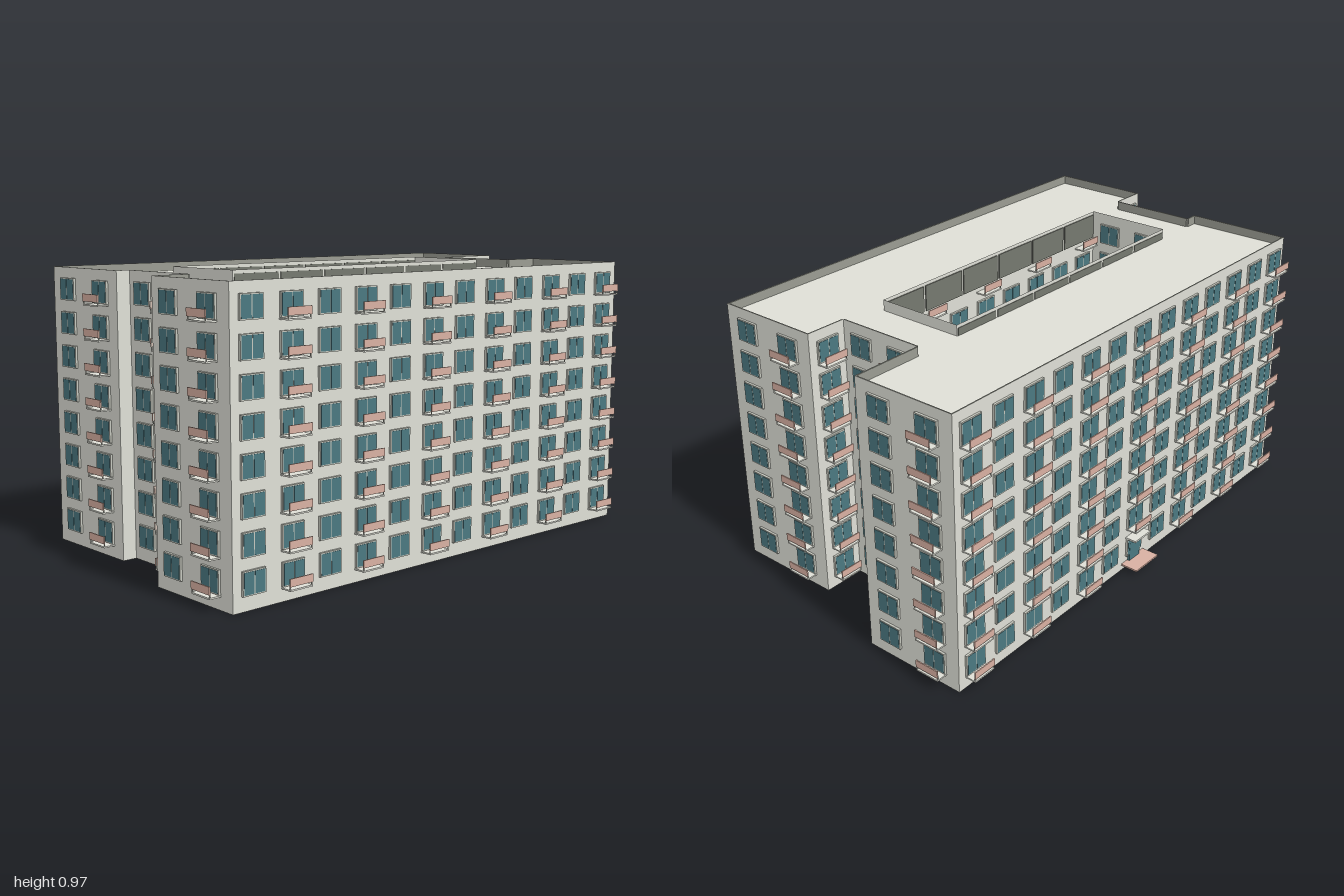
import * as THREE from 'three';
import { mergeGeometries } from 'three/addons/utils/BufferGeometryUtils.js';

const mat = (name, color, side = THREE.FrontSide) => {
  const m = new THREE.MeshStandardMaterial({ color, side });
  m.name = name;
  return m;
};
const M = {
  wall: mat('pale concrete', 0xdedfd6, THREE.DoubleSide),
  frame: mat('window frame', 0xc6c8be),
  lining: mat('parapet lining', 0x9a9c92),
  glass: mat('teal glass', 0x4b7881),
  rail: mat('pink balcony panel', 0xd8b0a2),
  dark: mat('dark trim', 0x75786f),
};

const FLOORS = 8, FLOOR_H = 0.1145, FIRST = 0.085;
const ROOF = 0.928, TOP = 0.96, COURT_TOP = 0.966;

// Footprint corners as [x, z]; the building always lies to the left of each edge
const OUTER = [
  [-0.955, 0.555], [0.84, 0.555], [0.84, 0.167], [0.69, 0.167], [0.69, -0.155], [0.952, -0.155],
  [0.952, -0.535], [-0.87, -0.535], [-0.87, -0.145], [-0.82, -0.145], [-0.82, 0.178], [-0.955, 0.178],
];
const COURT = [[-0.645, -0.15], [0.505, -0.15], [0.505, 0.172], [-0.645, 0.172]];

// Collects geometry under a part name so each part becomes one mesh
class Parts {
  constructor() { this.lists = {}; }
  add(part, material, geo) {
    (this.lists[part] ??= { material, geos: [] }).geos.push(geo);
  }
  box(part, material, w, h, d, x, y, z, matrix) {
    this.add(part, material, new THREE.BoxGeometry(w, h, d).translate(x, y, z).applyMatrix4(matrix));
  }
  addTo(group) {
    for (const [name, { material, geos }] of Object.entries(this.lists)) {
      const mesh = new THREE.Mesh(mergeGeometries(geos), material);
      mesh.name = name;
      group.add(mesh);
    }
  }
}

// Local frame on a facade: +z points away from the wall
const place = (x, y, z, turn) => new THREE.Matrix4().makeRotationY(turn).setPosition(x, y, z);

function addWindow(p, m) {
  p.box('windowFrames', M.frame, 0.086, 0.076, 0.008, 0, 0, 0.004, m);
  for (const s of [-1, 1]) p.box('windowPanes', M.glass, 0.0375, 0.068, 0.006, s * 0.0205, 0, 0.006, m);
}

function addBalcony(p, m) {
  p.box('balconyFloors', M.wall, 0.088, 0.005, 0.042, 0, -0.042, 0.021, m);
  p.box('balconyPanels', M.rail, 0.09, 0.025, 0.004, 0, -0.018, 0.041, m);
  for (const s of [-1, 1]) {
    p.box('balconyPosts', M.frame, 0.003, 0.036, 0.003, s * 0.0425, -0.024, 0.039, m);
  }
}

// Facades: fixed coordinate, turn, and column centres along the wall (plain / with balcony)
const FRONT = 0, LEFT = Math.PI / 2, BACK = Math.PI, RIGHT = -Math.PI / 2;
const series = (start, step, n) => Array.from({ length: n }, (_, i) => start + step * i);
const FACADES = [
  { z: 0.555, turn: FRONT, plain: series(-0.88, 0.298, 6), balcony: series(-0.73, 0.298, 6) },
  { z: -0.535, turn: BACK, plain: series(-0.66, 0.28, 6), balcony: series(-0.8, 0.28, 7), entrance: 0.04 },
  { x: 0.84, turn: LEFT, plain: [0.458], balcony: [0.265] },
  { x: 0.69, turn: LEFT, plain: [0.088], balcony: [-0.073] },
  { x: 0.952, turn: LEFT, plain: [-0.25], balcony: [-0.44] },
  { x: -0.955, turn: RIGHT, plain: [0.265], balcony: [0.455] },
  { x: -0.82, turn: RIGHT, plain: [-0.07], balcony: [0.1] },
  { x: -0.87, turn: RIGHT, plain: [-0.44], balcony: [-0.24] },
  { z: 0.167, turn: BACK, plain: [], balcony: [0.765] },
  { z: 0.178, turn: BACK, plain: [], balcony: [-0.89] },
  { z: -0.155, turn: FRONT, plain: [], balcony: [0.815] },
  // Courtyard
  { z: -0.15, turn: FRONT, plain: series(-0.57, 0.288, 4), balcony: series(-0.43, 0.288, 4), gallery: true },
  { z: 0.172, turn: BACK, plain: series(-0.43, 0.288, 4), balcony: series(-0.573, 0.288, 4), gallery: true },
  { x: -0.645, turn: LEFT, plain: [0.09], balcony: [-0.07] },
  { x: 0.505, turn: RIGHT, plain: [-0.07], balcony: [0.09] },
];

function addFacade(p, f) {
  for (let i = 0; i < FLOORS; i++) {
    const y = FIRST + i * FLOOR_H;
    for (const kind of ['plain', 'balcony']) {
      for (const c of f[kind]) {
        const m = place(f.x ?? c, y, f.z ?? c, f.turn);
        if (!(f.gallery && i === FLOORS - 1)) addWindow(p, m);
        const isDoor = i === 0 && f.entrance !== undefined && Math.abs(c - f.entrance) < 0.01;
        if (kind === 'balcony' && !isDoor) addBalcony(p, m);
      }
    }
  }
  // Dark top-floor bays facing the courtyard
  if (f.gallery) {
    for (const c of series(-0.645 + 1.15 / 12, 1.15 / 6, 6)) {
      p.box('galleryBays', M.dark, 0.182, 0.092, 0.006, 0, 0.908, 0.001, place(c, 0, f.z, f.turn));
    }
  }
}

// Thin walls along a closed outline, rising past the roof as a parapet
function addWalls(p, pts, top, lined) {
  pts.forEach(([x0, z0], i) => {
    const [x1, z1] = pts[(i + 1) % pts.length];
    const len = Math.hypot(x1 - x0, z1 - z0);
    const m = place((x0 + x1) / 2, 0, (z0 + z1) / 2, Math.atan2(z0 - z1, x1 - x0));
    p.add('walls', M.wall, new THREE.PlaneGeometry(len, top).translate(0, top / 2, 0).applyMatrix4(m));
    if (lined) p.box('parapetLining', M.lining, len - 0.002, top - ROOF, 0.004, 0, (top + ROOF) / 2, -0.003, m);
  });
}

export function createModel() {
  const group = new THREE.Group();
  group.name = 'apartmentBlock';

  // Roof with an open courtyard
  const toV = ([x, z]) => new THREE.Vector2(x, -z);
  const shape = new THREE.Shape(OUTER.map(toV));
  shape.holes.push(new THREE.Path(COURT.map(toV)));
  const roof = new THREE.Mesh(new THREE.ShapeGeometry(shape).rotateX(-Math.PI / 2), M.wall);
  roof.position.y = ROOF;
  roof.name = 'roof';
  group.add(roof);

  // Shell is open underneath
  const p = new Parts();
  addWalls(p, OUTER, TOP, true);
  addWalls(p, COURT, COURT_TOP, false);
  FACADES.forEach((f) => addFacade(p, f));

  // Entrance on the back: step, door and canopy
  const e = place(0.04, 0, -0.535, BACK);
  p.box('entranceStep', M.rail, 0.13, 0.006, 0.065, 0, 0.022, 0.0325, e);
  p.box('entranceDoor', M.glass, 0.06, 0.07, 0.009, 0, 0.06, 0.005, e);
  p.box('entranceCanopy', M.wall, 0.09, 0.007, 0.042, 0, 0.122, 0.021, e);

  p.addTo(group);
  return group;
}
